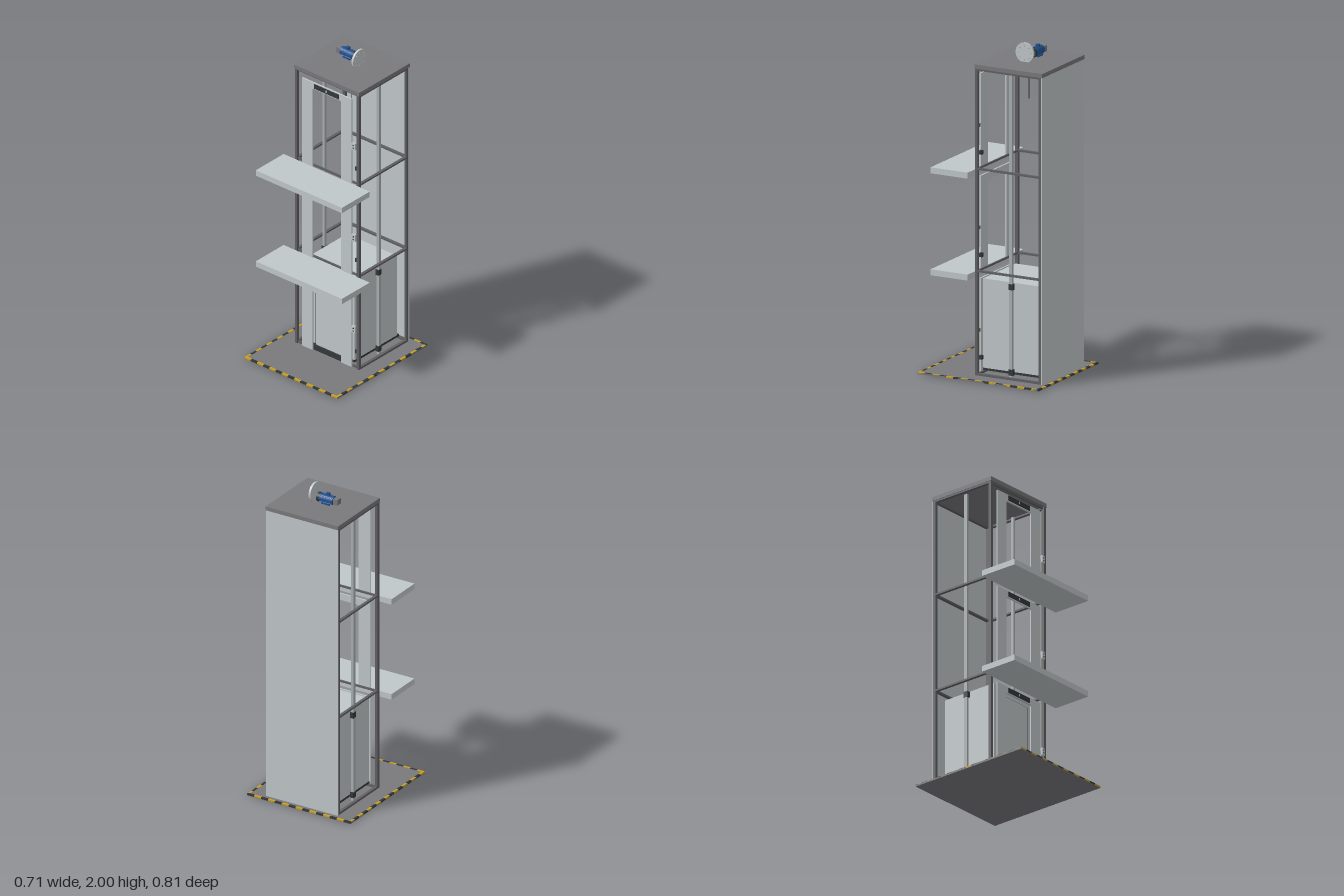
import * as THREE from 'three';

const mat = (name, color) => {
  const m = new THREE.MeshStandardMaterial({ color });
  m.name = name;
  return m;
};

export function createModel() {
  const root = new THREE.Group();
  root.name = 'elevator';
  const steel = mat('steel', 0x79787b);
  const frame = mat('frameSteel', 0x605f62);
  const panel = mat('panel', 0xc0c7c9);
  const rail = mat('guideRail', 0xa9b0b2);
  const black = mat('black', 0x343838);
  const yellow = mat('hazardYellow', 0xc9a021);
  const blue = mat('motorBlue', 0x1f518f);

  const add = (name, geo, m, x = 0, y = 0, z = 0, parent = root) => {
    const mesh = new THREE.Mesh(geo, m);
    mesh.name = name;
    mesh.position.set(x, y, z);
    parent.add(mesh);
    return mesh;
  };
  // box given by its limits on each axis
  const box = (name, m, x0, x1, y0, y1, z0, z1, parent = root) =>
    add(name, new THREE.BoxGeometry(x1 - x0, y1 - y0, z1 - z0), m,
      (x0 + x1) / 2, (y0 + y1) / 2, (z0 + z1) / 2, parent);
  const cylX = (r, len, n = 32) => new THREE.CylinderGeometry(r, r, len, n).rotateZ(Math.PI / 2);

  // base plate with striped border
  const BX = 0.356, BZ = 0.403, W = 0.014;
  box('basePlate', steel, -BX, BX, 0, 0.011, -BZ, BZ);
  const border = new THREE.Group();
  border.name = 'hazardBorder';
  root.add(border);
  const nx = 15, nz = 17, tx = 2 * BX / nx, tz = 2 * BZ / nz;
  for (let i = 0; i < nx; i++) {
    const x = -BX + i * tx;
    box('frontStripe', i % 2 ? black : yellow, x, x + tx, 0.003, 0.0125, BZ - W, BZ + 0.0005, border);
    box('backStripe', i % 2 ? yellow : black, x, x + tx, 0.003, 0.0125, -BZ - 0.0005, -BZ + W, border);
  }
  for (let i = 0; i < nz; i++) {
    const z = -BZ + i * tz;
    const z0 = Math.max(z, -BZ + W), z1 = Math.min(z + tz, BZ - W);
    for (const s of [-1, 1]) {
      const a = s * BX, b = s * (BX - W);
      box('sideStripe', i % 2 ? black : yellow, Math.min(a, b), Math.max(a, b), 0.003, 0.0125, z0, z1, border);
    }
  }

  // shaft: posts, ring beams, back wall and roof
  const SX = 0.247, ZF = 0.081, ZB = -0.362, T = 0.018;
  for (const s of [-1, 1]) {
    const x0 = s > 0 ? SX - T : -SX, x1 = x0 + T;
    box('frontPost', frame, x0, x1, 0.011, 1.86, ZF - T, ZF);
    box('backPost', frame, x0, x1, 0.011, 1.86, ZB, ZB + T);
  }
  for (const [y0, y1] of [[0.011, 0.024], [0.634, 0.645], [1.25, 1.261], [1.848, 1.86]]) {
    for (const s of [-1, 1]) {
      const x0 = s > 0 ? SX - T : -SX;
      box('sideBeam', frame, x0, x0 + T, y0, y1, ZB + T, ZF - T);
    }
    box('backBeam', frame, -SX + T, SX - T, y0, y1, ZB, ZB + T);
    box('frontBeam', frame, -SX + T, SX - T, y0, y1, ZF - T, ZF - 0.008);
  }
  box('backWall', panel, -0.249, 0.249, 0.011, 1.86, -0.367, -0.362);
  box('roof', steel, -0.25, 0.25, 1.86, 1.885, -0.37, 0.083);

  // guide rails and hoist rope
  for (const s of [-1, 1]) box('guideRail', rail, s * 0.209 - 0.008, s * 0.209 + 0.008, 0.011, 1.848, -0.15, -0.13);
  add('hoistRope', new THREE.CylinderGeometry(0.002, 0.002, 0.21, 8), black, 0, 1.755, -0.14);

  // one doorway per floor: surround, display, call panel and lock
  const surround = new THREE.Shape();
  surround.moveTo(-0.19, 0);
  surround.lineTo(-0.11, 0);
  surround.lineTo(-0.11, 0.52);
  surround.quadraticCurveTo(-0.11, 0.53, -0.1, 0.53);
  surround.lineTo(0.1, 0.53);
  surround.quadraticCurveTo(0.11, 0.53, 0.11, 0.52);
  surround.lineTo(0.11, 0);
  surround.lineTo(0.19, 0);
  surround.lineTo(0.19, 0.572);
  surround.lineTo(-0.19, 0.572);
  surround.closePath();
  const surroundGeo = new THREE.ExtrudeGeometry(surround, { depth: 0.01, bevelEnabled: false });
  for (let f = 0; f < 3; f++) {
    const door = new THREE.Group();
    door.name = 'doorway';
    door.position.y = 0.012 + f * 0.6175;
    root.add(door);
    add('doorSurround', surroundGeo, panel, 0, 0, 0.073, door);
    box('displayPanel', black, -0.096, 0.096, 0.537, 0.567, 0.08, 0.087, door);
    box('displayLight', panel, -0.004, 0.004, 0.545, 0.56, 0.086, 0.0885, door);
    box('callPanel', panel, 0.2, 0.225, 0.243, 0.288, 0.08, 0.092, door);
    for (const y of [0.256, 0.274]) {
      add('callButton', new THREE.CylinderGeometry(0.004, 0.004, 0.004, 12).rotateX(Math.PI / 2),
        black, 0.2125, y, 0.093, door);
    }
    box('callPanelBracket', frame, 0.205, 0.23, 0.255, 0.275, 0.068, 0.08, door);
    box('doorLock', black, 0.204, 0.226, 0.091, 0.115, 0.048, 0.066, door);
  }

  // landings
  for (const y of [0.6, 1.2145]) box('landing', panel, -0.331, 0.331, y, y + 0.036, 0.083, 0.331);

  // cabin with door, floor frame and guide shoes
  const cabin = new THREE.Group();
  cabin.name = 'cabin';
  root.add(cabin);
  box('cabinBody', panel, -0.192, 0.192, 0.047, 0.585, -0.32, 0.058, cabin);
  box('cabinFloorFrame', black, -0.192, 0.192, 0.033, 0.047, -0.34, 0.06, cabin);
  box('doorSill', black, -0.108, 0.108, 0.014, 0.044, 0.058, 0.077, cabin);
  box('cabinDoor', panel, -0.1, 0.1, 0.045, 0.525, 0.058, 0.064, cabin);
  for (const s of [-1, 1]) {
    box('doorEdge', frame, s * 0.102 - 0.001, s * 0.102 + 0.001, 0.045, 0.527, 0.058, 0.065, cabin);
    for (const y of [0.03, 0.545]) {
      box('guideShoe', black, s * 0.207 - 0.011, s * 0.207 + 0.011, y, y + 0.036, -0.155, -0.125, cabin);
    }
  }
  box('doorTopEdge', frame, -0.103, 0.103, 0.525, 0.527, 0.058, 0.065, cabin);

  // ribbed cable chain behind the cabin
  for (let i = 0; i < 14; i++) {
    const y = 0.047 + i * 0.018;
    box('chainLink', black, -0.03, 0.03, y, y + 0.015, -0.344, -0.32);
  }
  box('chainCore', black, -0.027, 0.027, 0.047, 0.296, -0.342, -0.322);

  // hoist motor
  const motor = new THREE.Group();
  motor.name = 'motor';
  motor.position.set(0, 1.93, -0.168);
  root.add(motor);
  add('motorBody', cylX(0.026, 0.097), blue, -0.0485, 0, 0, motor);
  for (let i = 0; i < 16; i++) {
    const fin = add('coolingFin', new THREE.BoxGeometry(0.085, 0.004, 0.0035), blue, -0.048, 0, 0, motor);
    const a = i * Math.PI / 8;
    fin.position.set(-0.048, Math.cos(a) * 0.0265, Math.sin(a) * 0.0265);
    fin.rotation.x = a;
  }
  add('fanCover', cylX(0.029, 0.014), black, 0.006, 0, 0, motor);
  box('gearHousing', steel, -0.128, -0.097, -0.018, 0.018, -0.019, 0.019, motor);
  box('terminalBox', blue, -0.064, -0.043, 0.02, 0.04, -0.01, 0.01, motor);
  for (const s of [-1, 1]) box('motorFoot', blue, -0.075, -0.02, -0.03, -0.022, s * 0.017 - 0.006, s * 0.017 + 0.006, motor);

  // sheave wheel with bolts
  const sheave = new THREE.Group();
  sheave.name = 'sheave';
  sheave.position.set(0.053, 1.94, -0.144);
  root.add(sheave);
  add('wheel', cylX(0.06, 0.013, 48), panel, 0, 0, 0, sheave);
  for (let i = 0; i < 8; i++) {
    const a = i * Math.PI / 4;
    add('bolt', cylX(0.004, 0.005, 6), rail, 0.008, Math.cos(a) * 0.042, Math.sin(a) * 0.042, sheave);
  }
  return root;
}
